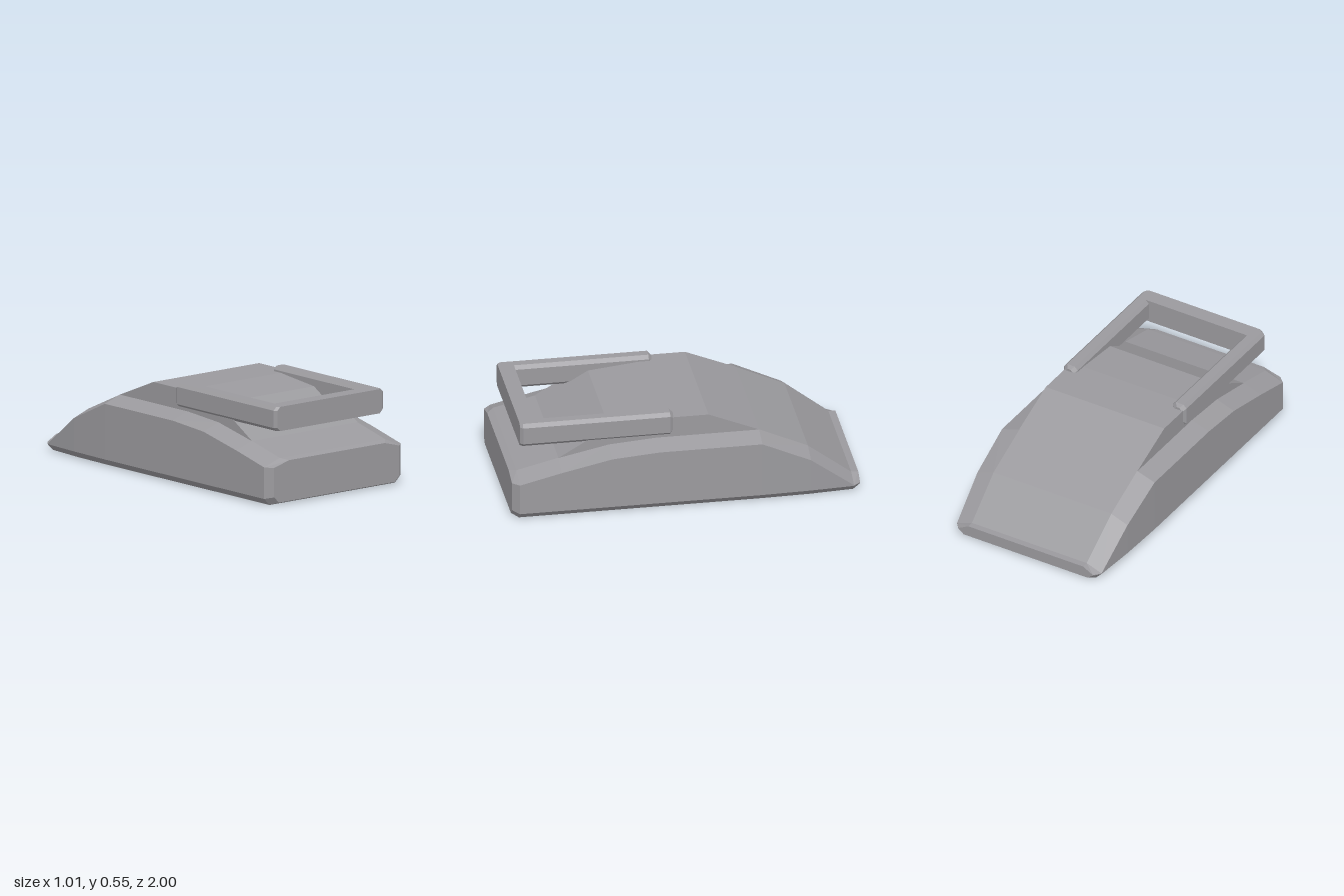
import * as THREE from 'three';

const material = new THREE.MeshStandardMaterial({ color: 0x9b9a9e, flatShading: true });

function mesh(name, geometry) {
  const m = new THREE.Mesh(geometry, material);
  m.name = name;
  return m;
}

// Skin a row of equal-length rings and cap both ends.
function loft(rings) {
  const pos = [];
  const tri = (a, b, c) => pos.push(...a, ...b, ...c);
  const n = rings[0].length;
  for (let i = 0; i < rings.length - 1; i++) {
    for (let j = 0; j < n; j++) {
      const k = (j + 1) % n;
      const a = rings[i][j], b = rings[i][k], c = rings[i + 1][k], d = rings[i + 1][j];
      tri(a, c, b);
      tri(a, d, c);
    }
  }
  const first = rings[0], last = rings[rings.length - 1];
  for (let j = 1; j < n - 1; j++) {
    tri(first[0], first[j], first[j + 1]);
    tri(last[0], last[j + 1], last[j]);
  }
  const g = new THREE.BufferGeometry();
  g.setAttribute('position', new THREE.Float32BufferAttribute(pos, 3));
  g.computeVertexNormals();
  return g;
}

// Eight-sided hull section, counter-clockwise seen from the front.
function hullRing([z, floor, sill, edge, top, floorW, w, topW]) {
  const half = [[floorW, floor], [w, sill], [w, edge], [topW, top]];
  const other = half.slice().reverse().map(([x, y]) => [-x, y]);
  return [...half, ...other].map(([x, y]) => [x, y, z]);
}

// Beam along z with cut edges; the front end narrows in width only, the back end all round.
function bevelledBeam(w, h, d, cut) {
  const ring = (z, insetX, insetY) => {
    const x = w / 2 - insetX, y = h / 2 - insetY;
    return [[x - cut, -y], [x, cut - y], [x, y - cut], [x - cut, y],
      [cut - x, y], [-x, y - cut], [-x, cut - y], [cut - x, -y]].map(([px, py]) => [px, py, z]);
  };
  const inset = cut * 0.8;
  return loft([
    ring(d / 2, inset, 0),
    ring(d / 2 - inset, 0, 0),
    ring(cut - d / 2, 0, 0),
    ring(-d / 2, inset, inset),
  ]);
}

export function createModel() {
  const model = new THREE.Group();
  model.name = 'vehicle';

  // Hull: z, floor, sill, edge, top, then half-widths of floor, side and top
  const sections = [
    [1.0, 0.015, 0.05, 0.22, 0.25, 0.43, 0.465, 0.355],
    [0.96, 0, 0.04, 0.222, 0.262, 0.465, 0.505, 0.39],
    [0.72, 0, 0.04, 0.28, 0.32, 0.465, 0.505, 0.39],
    [0.43, 0, 0.04, 0.342, 0.381, 0.465, 0.505, 0.39],
    [0.16, 0, 0.04, 0.362, 0.4, 0.465, 0.505, 0.39],
    [-0.43, 0, 0.04, 0.362, 0.4, 0.465, 0.505, 0.39],
    [-0.71, 0, 0.04, 0.232, 0.272, 0.458, 0.497, 0.39],
    [-0.96, 0, 0.038, 0.042, 0.078, 0.44, 0.478, 0.38],
    [-1.0, 0.012, 0.038, 0.042, 0.078, 0.41, 0.445, 0.38],
  ];
  model.add(mesh('hull', loft(sections.map(hullRing))));

  // Cabin: side profile swept across the width
  const profile = [[0.72, 0.32], [0.43, 0.49], [0.14, 0.52], [-0.14, 0.52], [-0.43, 0.4], [-0.4, 0.2], [0.65, 0.2]];
  const cabin = new THREE.ExtrudeGeometry(
    new THREE.Shape(profile.map(([z, y]) => new THREE.Vector2(-z, y))),
    { depth: 0.784, bevelEnabled: false });
  cabin.translate(0, 0, -0.392);
  cabin.rotateY(Math.PI / 2);
  model.add(mesh('cabin', cabin));

  // U-shaped frame carried in front of the cabin
  const frame = new THREE.Group();
  frame.name = 'frame';
  for (const side of [1, -1]) {
    const arm = mesh(side > 0 ? 'leftArm' : 'rightArm', bevelledBeam(0.09, 0.14, 0.88, 0.02));
    arm.position.set(side * 0.36, 0.48, 0.5);
    frame.add(arm);
  }
  const bar = mesh('frontBar', new THREE.BoxGeometry(0.72, 0.14, 0.09));
  bar.position.set(0, 0.48, 0.895);
  frame.add(bar);
  model.add(frame);

  return model;
}
